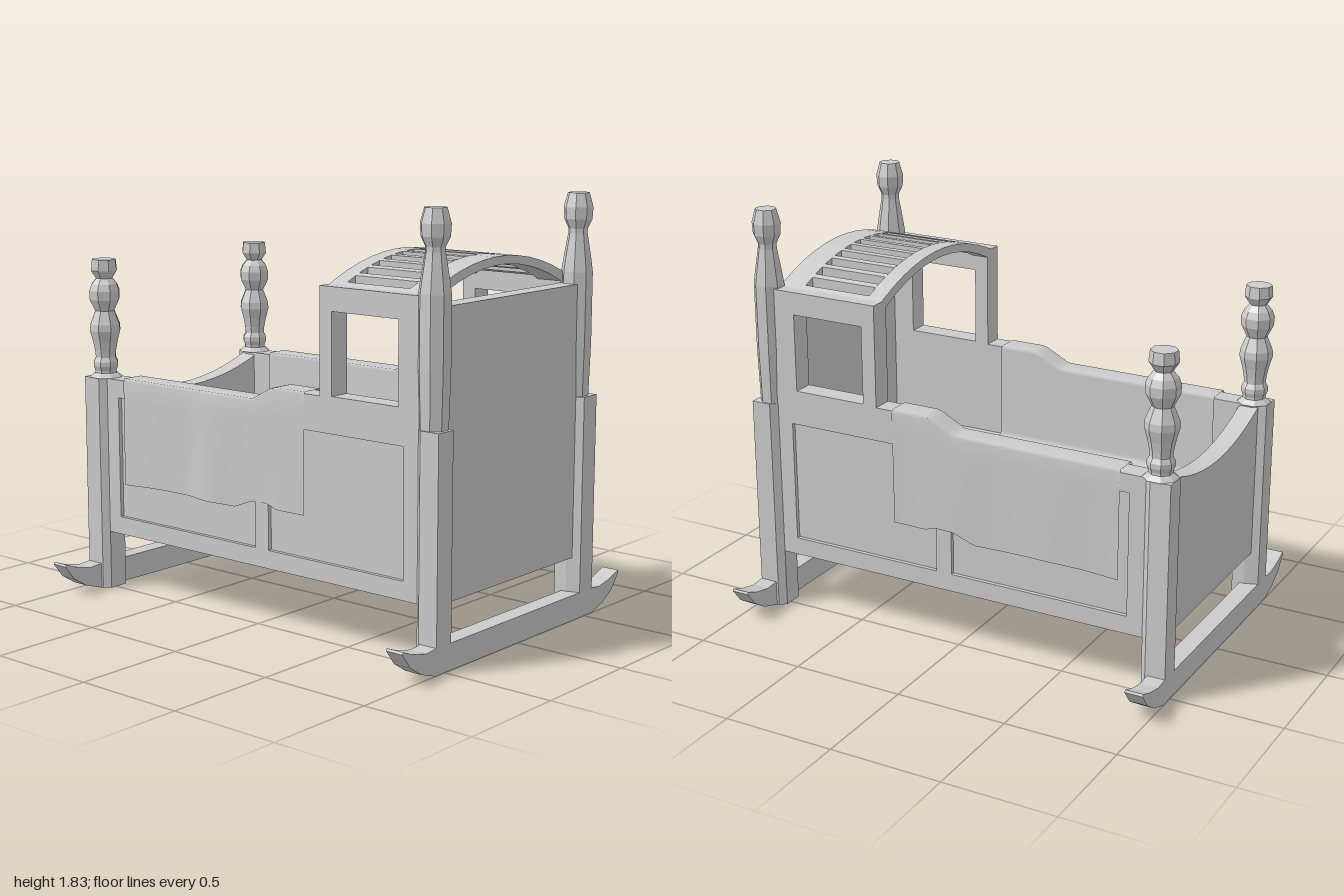
import * as THREE from 'three';

export function createModel() {
  const model = new THREE.Group();
  const mat = new THREE.MeshStandardMaterial({ color: 0xcccccc, flatShading: true });
  const clothMat = new THREE.MeshStandardMaterial({ color: 0xcccccc, side: THREE.DoubleSide });

  const add = (name, geo, material = mat) => {
    const mesh = new THREE.Mesh(geo, material);
    mesh.name = name;
    model.add(mesh);
    return mesh;
  };
  const polygon = pts => new THREE.Shape(pts.map(p => new THREE.Vector2(p[0], p[1])));
  const rect = (a, b, c, d) => polygon([[a, c], [b, c], [b, d], [a, d]]);
  const extrude = (shape, depth) => new THREE.ExtrudeGeometry(shape, { depth, bevelEnabled: false });
  const box = (name, x0, x1, y0, y1, z0, z1) => add(name,
    new THREE.BoxGeometry(x1 - x0, y1 - y0, z1 - z0)
      .translate((x0 + x1) / 2, (y0 + y1) / 2, (z0 + z1) / 2));
  // piecewise linear lookup, keys ascending
  const lerpTable = (table, t) => {
    if (t <= table[0][0]) return table[0][1];
    for (let i = 1; i < table.length; i++) {
      const [a, va] = table[i - 1], [b, vb] = table[i];
      if (t <= b) return va + (vb - va) * (t - a) / (b - a);
    }
    return table[table.length - 1][1];
  };

  // Corner legs, turned posts and rockers
  const headProfile = [[0, 0.96], [0.06, 0.96], [0.067, 1.2], [0.067, 1.5], [0.058, 1.56], [0.041, 1.66],
    [0.041, 1.68], [0.06, 1.72], [0.063, 1.77], [0.046, 1.83], [0, 1.83]];
  const footProfile = [[0, 0.96], [0.075, 0.97], [0.05, 0.99], [0.05, 1.0], [0.058, 1.02], [0.058, 1.04],
    [0.047, 1.06], [0.05, 1.09], [0.058, 1.13], [0.072, 1.18], [0.07, 1.21], [0.045, 1.27], [0.07, 1.32],
    [0.072, 1.36], [0.06, 1.39], [0.038, 1.415], [0.061, 1.45], [0.056, 1.5], [0, 1.5]];
  const legOutline = [[0.46, 1], [0.555, 1], [0.555, 0.91], [0.53, 0.882], [0.44, 0.882], [0.44, 0.94]];
  const rockerSide = [[0.56, 0], [0.65, 0.03], [0.72, 0.075], [0.77, 0.14], [0.765, 0.15],
    [0.7, 0.125], [0.62, 0.108], [0.56, 0.113]];
  for (const end of [1, -1]) {
    const label = end > 0 ? 'head' : 'foot';
    for (const side of [1, -1]) {
      const outline = polygon(legOutline.map(([x, z]) => [x * side, -z * end]));
      add(label + 'Leg', extrude(outline, 0.97).rotateX(-Math.PI / 2));
      const profile = (end > 0 ? headProfile : footProfile).map(p => new THREE.Vector2(p[0], p[1]));
      add(label + 'Post', new THREE.LatheGeometry(profile, 8, Math.PI / 8)
        .translate(side * 0.492, 0, end * 0.928));
    }
    const mirrored = rockerSide.map(([x, y]) => [-x, y]).reverse();
    add(label + 'Rocker', extrude(polygon([...rockerSide, ...mirrored]), 0.08)
      .translate(0, 0, end > 0 ? 0.92 : -1));
  }

  // Headboard, sagging footboard, base with mattress
  box('headboard', -0.47, 0.47, 0.265, 1.45, 0.88, 0.965);
  const foot = [[-0.47, 0.265], [0.47, 0.265]];
  for (let i = 0; i <= 12; i++) {
    const x = 0.47 - 0.94 * i / 12;
    foot.push([x, 0.87 + 0.1 * (x / 0.47) ** 2]);
  }
  add('footboard', extrude(polygon(foot), 0.085).translate(0, 0, -0.965));
  box('mattressBase', -0.45, 0.45, 0.27, 0.61, -0.885, 0.885);

  // Side boards: solid core plus an outer frame with sunken panels
  const sideShape = withPanels => {
    const s = polygon([[-0.885, 0.265], [0.885, 0.265], [0.885, 0.97], [0, 0.975], [-0.12, 1.04],
      [-0.375, 1.04], [-0.375, 1.49], [-0.885, 1.49]]);
    s.holes.push(rect(-0.78, -0.44, 1.045, 1.39));
    if (withPanels) s.holes.push(rect(-0.81, -0.09, 0.345, 0.89), rect(-0.015, 0.81, 0.345, 0.89));
    return s;
  };
  for (const side of [1, -1]) {
    const board = (name, x0, x1, panels) => add(name, extrude(sideShape(panels), x1 - x0)
      .rotateY(Math.PI / 2).translate(side > 0 ? x0 : -x1, 0, 0));
    board('sideBoard', 0.435, 0.512, false);
    board('sideFrame', 0.512, 0.53, true);
  }

  // Arched slatted hood
  const archStrip = (name, x0, x1, z0, z1) => {
    const n = Math.max(1, Math.round((x1 - x0) * 12)), top = [], under = [];
    for (let i = 0; i <= n; i++) {
      const x = x0 + (x1 - x0) * i / n;
      top.unshift([x, 1.6 - 0.5 * x * x]);
      under.push([x, 1.565 - 0.56 * x * x]);
    }
    add(name, extrude(polygon([...under, ...top]), z1 - z0).translate(0, 0, z0));
  };
  archStrip('hoodFrontRail', -0.525, 0.525, 0.375, 0.45);
  archStrip('hoodBackRail', -0.525, 0.525, 0.77, 0.885);
  archStrip('hoodEdge', -0.525, -0.445, 0.45, 0.77);
  archStrip('hoodEdge', 0.445, 0.525, 0.45, 0.77);
  const pitch = 0.914 / 12;
  for (let i = 1; i < 12; i++) {
    const x = -0.457 + pitch * i;
    archStrip('hoodSlat', x - 0.012, x + 0.012, 0.45, 0.77);
  }

  // Blanket draped over both side boards and across the mattress
  const topEdge = [[-0.77, 0.982], [0, 0.984], [0.12, 1.047], [0.3, 1.047]];
  const hem = [[-0.77, 0.5], [-0.6, 0.508], [-0.35, 0.512], [-0.1, 0.505], [0, 0.545], [0.09, 0.548],
    [0.14, 0.53], [0.3, 0.53]];
  const halfSection = (z, side) => {
    const top = lerpTable(topEdge, z), low = lerpTable(hem, z);
    const wave = 0.003 * Math.sin(z * 14 + side);
    const fold = side < 0 ? 0.02 * Math.exp(-(((z + 0.25) / 0.08) ** 2)) : 0;
    const pts = [];
    for (let i = 0; i <= 6; i++) {
      const t = i / 6;
      pts.push([0.535 + (wave + fold) * (1 - t), low + (top - 0.012 - low) * t]);
    }
    pts.push([0.527, top], [0.43, top], [0.42, top - 0.012], [0.418, 0.63], [0.4, 0.616], [0.23, 0.615]);
    return pts.map(([x, y]) => [x * side, y]);
  };
  const positions = [], index = [], rows = 40;
  let cols = 0;
  for (let r = 0; r <= rows; r++) {
    const z = -0.77 + 1.065 * r / rows;
    const section = [...halfSection(z, -1), ...halfSection(z, 1).reverse()];
    cols = section.length;
    for (const [x, y] of section) positions.push(x, y, z);
  }
  for (let r = 0; r < rows; r++) {
    for (let c = 0; c < cols - 1; c++) {
      const a = r * cols + c, b = a + cols;
      index.push(a, b, a + 1, b, b + 1, a + 1);
    }
  }
  const cloth = new THREE.BufferGeometry();
  cloth.setAttribute('position', new THREE.Float32BufferAttribute(positions, 3));
  cloth.setIndex(index);
  cloth.computeVertexNormals();
  add('blanket', cloth, clothMat);

  return model;
}
